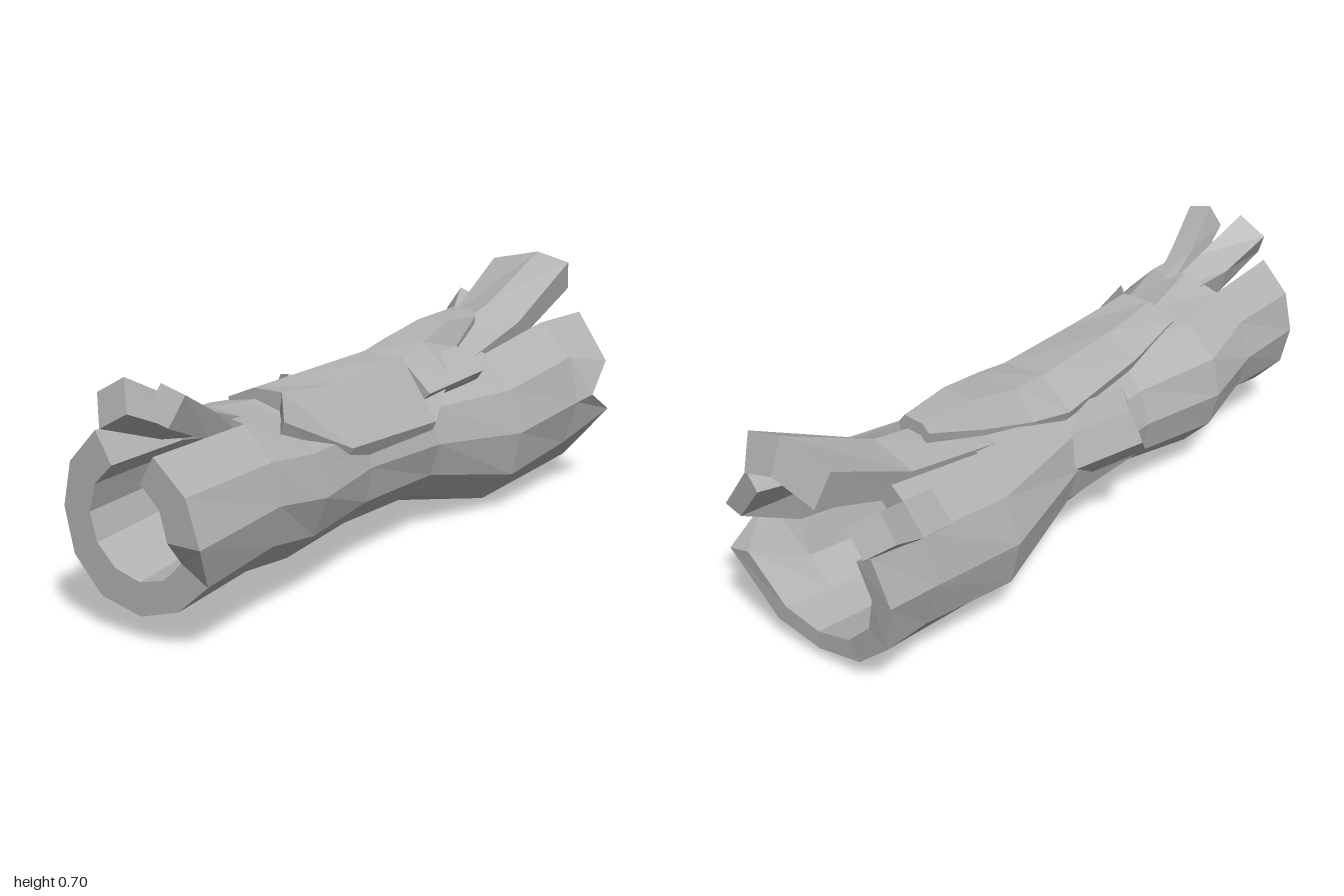
import * as THREE from 'three';

const SIDES = 12;

// Log stations, front to back: z, left x, right x, bottom y, top y, hollow scale, hollow drop
const STATIONS = [
  [0.93, -0.235, 0.25, 0.075, 0.54, 0.63, 0],
  [0.67, -0.235, 0.235, 0.11, 0.53, 0.64, 0],
  [0.47, -0.27, 0.215, 0.07, 0.505, 0.62, 0.01],
  [0.2, -0.205, 0.175, 0.1, 0.485, 0.6, 0.02],
  [-0.12, -0.2, 0.18, 0.09, 0.48, 0.6, 0.02],
  [-0.45, -0.265, 0.26, 0.0, 0.51, 0.66, 0],
  [-0.75, -0.255, 0.285, 0.02, 0.56, 0.74, 0],
  [-0.91, -0.255, 0.315, 0.04, 0.58, 0.78, 0],
];

// Rear rim columns that close in on the notch, in degrees
const REAR_ANGLES = { 1: 34, 2: 72, 4: 104 };

function triangleSoup() {
  const pos = [];
  const tri = (a, b, c) => pos.push(...a, ...b, ...c);
  return {
    quad: (a, b, c, d) => { tri(a, b, c); tri(a, c, d); },
    build() {
      const g = new THREE.BufferGeometry();
      g.setAttribute('position', new THREE.Float32BufferAttribute(pos, 3));
      g.computeVertexNormals();
      return g;
    },
  };
}

// Closed solid through rings ordered from front to back, each clockwise seen from the front
function loft(rings) {
  const s = triangleSoup();
  const n = rings[0].length;
  for (let k = 0; k < rings.length - 1; k++) {
    for (let i = 0; i < n; i++) {
      const j = (i + 1) % n;
      s.quad(rings[k][i], rings[k][j], rings[k + 1][j], rings[k + 1][i]);
    }
  }
  const cap = (ring, flip) => {
    for (let i = 0; i < n / 2 - 1; i++) {
      const q = [ring[i], ring[i + 1], ring[n - 2 - i], ring[n - 1 - i]];
      s.quad(...(flip ? q.reverse() : q));
    }
  };
  cap(rings[0], true);
  cap(rings[rings.length - 1], false);
  return s.build();
}

// Point of the outer or inner wall at station k, column i
function wallPoint(k, i, inner) {
  const [z, l, r, b, t, hollow, drop] = STATIONS[k];
  i = (i + SIDES) % SIDES;
  const rear = k === STATIONS.length - 1;
  const degrees = (rear && REAR_ANGLES[i]) || (i * 360) / SIDES;
  const a = THREE.MathUtils.degToRad(degrees);
  const sag = (k === 3 || k === 4) && i <= 2 ? 0.68 : 1; // sagging ceiling inside
  const f = inner ? hollow * sag : 1 + 0.025 * Math.sin(i * 4.7 + k * 2.9);
  let zz = z;
  if (k === 0 && i >= 1 && i <= 3) zz = 1.0; // longer right lip
  if (rear) zz = i === 3 ? -0.79 : z - 0.025 * Math.cos(a); // slanted rim with a notch
  const cy = (b + t) / 2 - (inner ? drop : 0);
  return [(l + r) / 2 + ((r - l) / 2) * f * Math.sin(a), cy + ((t - b) / 2) * f * Math.cos(a), zz];
}

// Hollow trunk with the top split open at both ends
function trunkGeometry() {
  const has = (k, i) => {
    i = (i + SIDES) % SIDES;
    if (k < 0 || k > STATIONS.length - 2) return false;
    const top = i === 0 || i === SIDES - 1;
    if (top && (k === 0 || k >= 5)) return false;
    return !(k === 6 && i === 10);
  };
  const s = triangleSoup();
  for (let k = 0; k < STATIONS.length - 1; k++) {
    for (let i = 0; i < SIDES; i++) {
      if (!has(k, i)) continue;
      const corners = [[k, i], [k, i + 1], [k + 1, i + 1], [k + 1, i]];
      const [A, B, C, D] = corners.map(([u, v]) => wallPoint(u, v, false));
      const [a, b, c, d] = corners.map(([u, v]) => wallPoint(u, v, true));
      s.quad(A, B, C, D);
      s.quad(d, c, b, a);
      if (!has(k, i - 1)) s.quad(A, D, d, a);
      if (!has(k, i + 1)) s.quad(B, b, c, C);
      if (!has(k - 1, i)) s.quad(A, a, b, B);
      if (!has(k + 1, i)) s.quad(D, C, c, d);
    }
  }
  return s.build();
}

// Four corners around a centre, rolled by an angle; the lower pair can lean in z
function block(x, y, z, w, h, roll = 0, lean = 0) {
  return [[-1, 1], [1, 1], [1, -1], [-1, -1]].map(([u, v]) => {
    const px = (u * w) / 2, py = (v * h) / 2;
    return [
      x + px * Math.cos(roll) - py * Math.sin(roll),
      y + px * Math.sin(roll) + py * Math.cos(roll),
      z - lean * v,
    ];
  });
}

// Ring made of an upper edge of [x, y, z shift] and a copy of it pushed down
function slab(z, upper, drop, lean = 0) {
  return [
    ...upper.map(([x, y, dz = 0]) => [x, y, z + dz]),
    ...[...upper].reverse().map(([x, y, dz = 0]) => [x * 0.85, y - drop, z + dz - lean]),
  ];
}

export function createModel() {
  const group = new THREE.Group();
  group.name = 'hollowLog';
  const wood = new THREE.MeshStandardMaterial({ color: 0xb2b2b2, flatShading: true });
  wood.name = 'greyWood';
  const add = (name, geometry) => {
    const mesh = new THREE.Mesh(geometry, wood);
    mesh.name = name;
    group.add(mesh);
    return mesh;
  };

  add('trunk', trunkGeometry());

  // Front splinters rising out of the split
  add('frontRightSplinter', loft([
    block(-0.06, 0.587, 0.93, 0.1, 0.085, 0.5, 0.02),
    block(-0.035, 0.51, 0.75, 0.1, 0.08, 0.3),
    block(-0.01, 0.46, 0.56, 0.06, 0.06),
  ]));
  add('frontLeftSplinter', loft([
    block(0.103, 0.604, 0.93, 0.075, 0.075, -0.25, 0.02),
    block(0.065, 0.525, 0.76, 0.075, 0.075, -0.2),
    block(0.03, 0.46, 0.57, 0.05, 0.06),
  ]));

  // Broad rear splinter lifting upwards
  add('rearTopSplinter', loft([
    slab(-0.38, [[-0.13, 0.47], [0, 0.51], [0.12, 0.47]], 0.07),
    slab(-0.68, [[-0.125, 0.53], [0, 0.575], [0.11, 0.53]], 0.08),
    slab(-0.96, [[-0.14, 0.67], [0.02, 0.705], [0.13, 0.68]], 0.09, 0.04),
  ]));

  // Small rear splinter on the side
  add('rearSideSplinter', loft([
    block(-0.175, 0.43, -0.66, 0.1, 0.06, 0.85),
    block(-0.19, 0.46, -0.78, 0.1, 0.065, 0.9),
    block(-0.225, 0.515, -0.93, 0.085, 0.075, 0.95, -0.025),
  ]));

  // Loose bark sheet lying over the top
  add('barkSheet', loft([
    slab(0.44, [[-0.115, 0.495], [-0.03, 0.53], [0.06, 0.53], [0.15, 0.49, 0.11]], 0.06),
    slab(0.22, [[-0.14, 0.465], [-0.05, 0.525], [0.08, 0.51], [0.18, 0.37, 0.08]], 0.06),
    slab(-0.1, [[-0.155, 0.445], [-0.06, 0.525], [0.07, 0.52], [0.182, 0.355]], 0.06),
    slab(-0.22, [[-0.13, 0.46], [-0.07, 0.54], [0.06, 0.545], [0.15, 0.46]], 0.07),
    slab(-0.38, [[-0.1, 0.5], [-0.06, 0.57], [0.04, 0.575], [0.07, 0.5]], 0.06),
    slab(-0.56, [[-0.07, 0.56], [-0.05, 0.58], [0.01, 0.585], [0.03, 0.56]], 0.035),
  ]));

  // Torn flap of bark beside the sheet
  add('tornBark', loft([
    block(0.11, 0.45, -0.1, 0.1, 0.04, -0.75),
    block(0.12, 0.465, -0.36, 0.11, 0.04, -0.6),
  ]));

  // Hollow branch stub
  const stubProfile = [[0.1, 0], [0.094, 0.19], [0.066, 0.19], [0.055, 0.06], [0, 0.06]];
  const stub = add('branchStub', new THREE.LatheGeometry(stubProfile.map(([x, y]) => new THREE.Vector2(x, y)), 6));
  stub.position.set(-0.125, 0.32, -0.065);
  stub.quaternion.setFromUnitVectors(
    new THREE.Vector3(0, 1, 0),
    new THREE.Vector3(-0.66, 0.34, 0.68).normalize()
  );

  return group;
}
